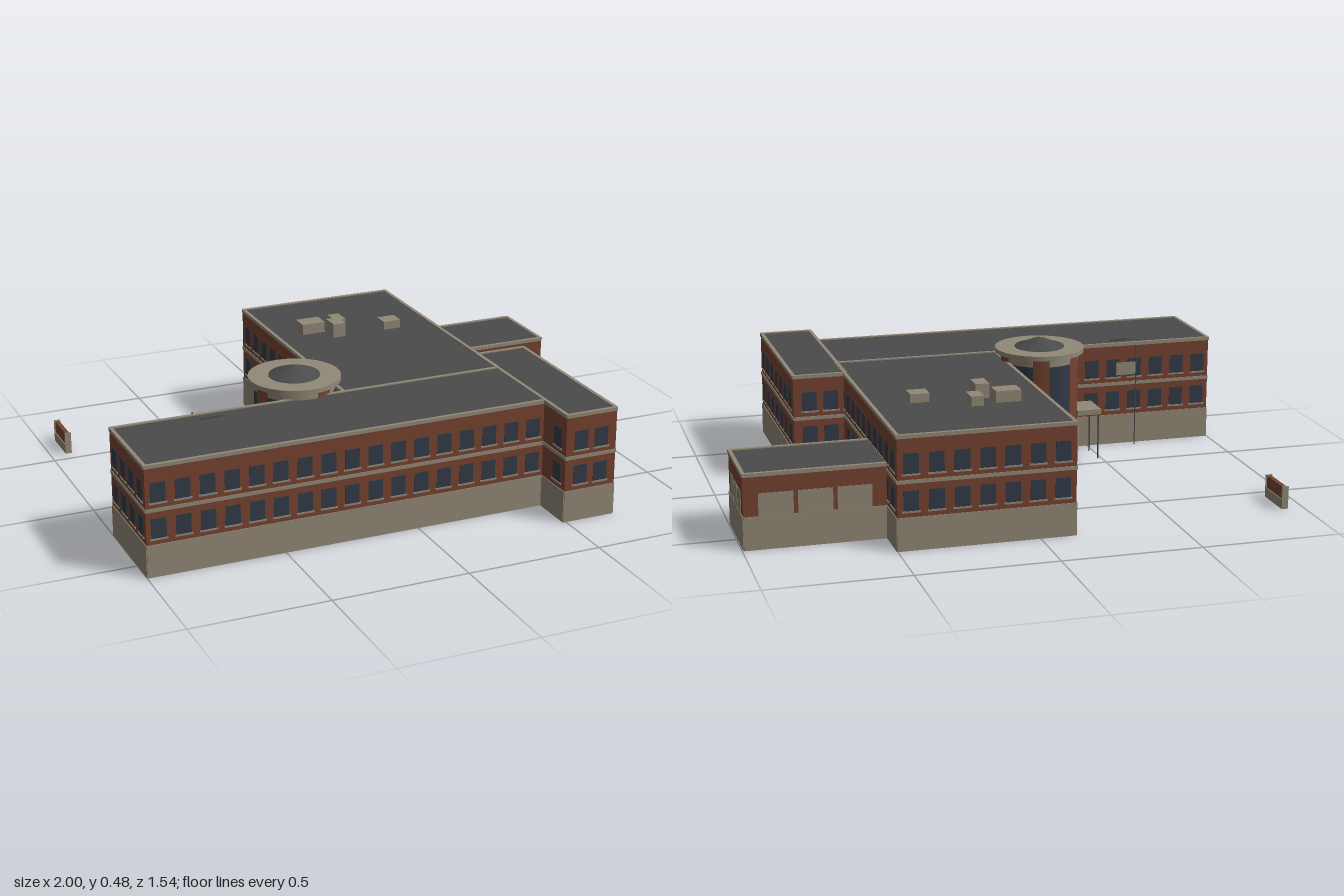
import * as THREE from 'three';

const mat = (name, color, side = THREE.FrontSide) => {
  const m = new THREE.MeshStandardMaterial({ color, side });
  m.name = name;
  return m;
};

export function createModel() {
  const brick = mat('brick', 0x754330);
  const concrete = mat('concrete', 0x918877);
  const roofing = mat('roofing', 0x4b4b4b);
  const glass = mat('glass', 0x333b48);
  const brickShell = brick.clone(), concreteShell = concrete.clone(), glassShell = glass.clone();
  for (const m of [brickShell, concreteShell, glassShell]) {
    m.side = THREE.DoubleSide;
    m.name += 'Shell';
  }
  const model = new THREE.Group();
  model.name = 'schoolBuilding';

  const add = (parent, name, geo, material, x = 0, y = 0, z = 0) => {
    const m = new THREE.Mesh(geo, material);
    m.name = name;
    m.position.set(x, y, z);
    parent.add(m);
    return m;
  };
  // Box given by its low and high bounds
  const box = (parent, name, material, x0, x1, y0, y1, z0, z1) =>
    add(parent, name, new THREE.BoxGeometry(x1 - x0, y1 - y0, z1 - z0), material,
      (x0 + x1) / 2, (y0 + y1) / 2, (z0 + z1) / 2);

  // One wall, built facing +z with its outer face on local z = 0
  function wall(parent, name, x, z, turn, length, top, opt) {
    const g = new THREE.Group();
    g.name = name;
    g.position.set(x, 0, z);
    g.rotation.y = turn;
    parent.add(g);
    const h = length / 2;
    box(g, 'brickWall', brick, -h, h, 0.118, top - 0.012, -0.005, 0);
    box(g, 'foundation', concrete, -h, h, 0, 0.118, -0.006, 0.003);
    box(g, 'parapetCap', concrete, -h, h, top - 0.013, top, -0.01, 0.003);
    const { count = 0, pitch = 0, from = -9, to = 9, panels = 0, width = 0 } = opt;
    if (count) box(g, 'stringCourse', concrete, -h, h, 0.236, 0.249, -0.004, 0.003);
    for (let i = 0; i < count; i++) {
      const u = (i - (count - 1) / 2) * pitch;
      if (u < from || u > to) continue;
      for (const y of [0.14, 0.27]) {
        box(g, 'window', glass, u - 0.027, u + 0.027, y, y + 0.071, -0.007, 0.0015);
        box(g, 'windowSill', concrete, u - 0.032, u + 0.032, y - 0.006, y, -0.002, 0.004);
      }
    }
    // Blank infill panels
    for (let i = 0; i < panels; i++) {
      const u = (i - (panels - 1) / 2) * pitch;
      box(g, 'infillPanel', concrete, u - width / 2, u + width / 2, 0.116, 0.198, -0.007, 0.002);
    }
  }

  // A flat-roofed wing, open underneath, with any of its four walls
  function wing(name, x0, x1, z0, z1, top, sides) {
    const g = new THREE.Group();
    g.name = name;
    model.add(g);
    const cx = (x0 + x1) / 2, cz = (z0 + z1) / 2, w = x1 - x0, d = z1 - z0;
    box(g, 'roof', roofing, x0 + 0.004, x1 - 0.004, top - 0.012, top - 0.004, z0 + 0.004, z1 - 0.004);
    if (sides.front) wall(g, 'frontWall', cx, z1, 0, w, top, sides.front);
    if (sides.back) wall(g, 'backWall', cx, z0, Math.PI, w, top, sides.back);
    if (sides.left) wall(g, 'leftWall', x1, cz, Math.PI / 2, d, top, sides.left);
    if (sides.right) wall(g, 'rightWall', x0, cz, -Math.PI / 2, d, top, sides.right);
  }

  wing('frontWing', -0.997, 0.492, 0.232, 0.603, 0.406, {
    front: { count: 17, pitch: 0.0875 },
    back: { count: 17, pitch: 0.0875 },
    right: { count: 4, pitch: 0.09 },
  });
  wing('rearWing', -0.127, 0.5, -0.768, 0.232, 0.406, {
    back: { count: 7, pitch: 0.0885 },
    left: { count: 11, pitch: 0.0885 },
    right: { count: 11, pitch: 0.0885 },
  });
  wing('endWing', 0.49, 0.69, 0.074, 0.767, 0.407, {
    front: { count: 2, pitch: 0.08 },
    back: { count: 2, pitch: 0.08 },
    left: { count: 7, pitch: 0.096 },
    right: { count: 7, pitch: 0.096, from: 0.22 },
  });
  wing('annex', 0.5, 0.993, -0.622, -0.327, 0.27, {
    front: { panels: 3, pitch: 0.135, width: 0.12 },
    back: { panels: 3, pitch: 0.135, width: 0.12 },
    left: { panels: 3, pitch: 0.079, width: 0.058 },
  });

  // Rooftop equipment
  for (const [x0, x1, z0, z1, top] of [
    [-0.022, 0.07, -0.46, -0.392, 0.443], [0.075, 0.125, -0.39, -0.316, 0.455],
    [0.12, 0.166, -0.482, -0.41, 0.437], [0.29, 0.36, -0.385, -0.322, 0.434],
  ]) box(model, 'rooftopUnit', concrete, x0, x1, 0.398, top, z0, z1);

  // Round entrance tower
  const tower = new THREE.Group();
  tower.name = 'entranceTower';
  tower.position.set(-0.263, 0, 0.11);
  model.add(tower);
  const drum = (name, r, y0, y1, material, start = 0, sweep = Math.PI * 2) =>
    add(tower, name, new THREE.CylinderGeometry(r, r, y1 - y0, sweep > 3 ? 48 : 8, 1, true, start, sweep),
      material, 0, (y0 + y1) / 2, 0);
  drum('towerBase', 0.153, 0, 0.12, concreteShell);
  add(tower, 'baseLedge', new THREE.RingGeometry(0.14, 0.153, 48).rotateX(-Math.PI / 2), concreteShell, 0, 0.12, 0);
  drum('curtainGlass', 0.146, 0.12, 0.4, glassShell);
  drum('towerLintel', 0.147, 0.4, 0.432, concreteShell);
  for (const deg of [16, 114, 190, 256, 316]) {
    // Angle is measured from -x towards +z
    const a = THREE.MathUtils.degToRad(deg - 90 - 12);
    drum('brickPier', 0.149, 0.12, 0.432, brickShell, a, THREE.MathUtils.degToRad(24));
  }
  add(tower, 'towerRoofRing', new THREE.CylinderGeometry(0.168, 0.168, 0.017, 48), concrete, 0, 0.4385, 0);
  const hat = [[0.094, 0.446], [0.092, 0.451], [0.05, 0.465], [0.02, 0.478], [0, 0.481]];
  add(tower, 'towerCone', new THREE.LatheGeometry(hat.map(([r, y]) => new THREE.Vector2(r, y)), 32), roofing)
    .material.side = THREE.DoubleSide;

  // Entrance canopy on two posts
  box(model, 'entranceCanopy', concrete, -0.494, -0.4, 0.178, 0.198, 0.048, 0.174);
  for (const z of [0.058, 0.164])
    add(model, 'canopyPost', new THREE.CylinderGeometry(0.003, 0.003, 0.18, 8), roofing, -0.486, 0.09, z);

  // Flagpoles with small flags
  for (const [z, flagTop, poleTop, material] of [[0.2, 0.335, 0.4, concrete], [0.285, 0.408, 0.409, roofing]]) {
    add(model, 'flagpole', new THREE.CylinderGeometry(0.002, 0.002, poleTop, 6), roofing, -0.685, poleTop / 2, z);
    box(model, 'flag', material, -0.685, -0.605, flagTop - 0.05, flagTop, z - 0.001, z + 0.001);
  }

  // Low freestanding wall behind the building
  box(model, 'signBase', concrete, -0.942, -0.918, 0, 0.035, -0.7, -0.55);
  box(model, 'signWall', brick, -0.938, -0.922, 0.035, 0.08, -0.694, -0.556);
  for (const z of [-0.7, -0.556])
    box(model, 'signPost', concrete, -0.942, -0.918, 0.035, 0.083, z, z + 0.006);

  return model;
}
